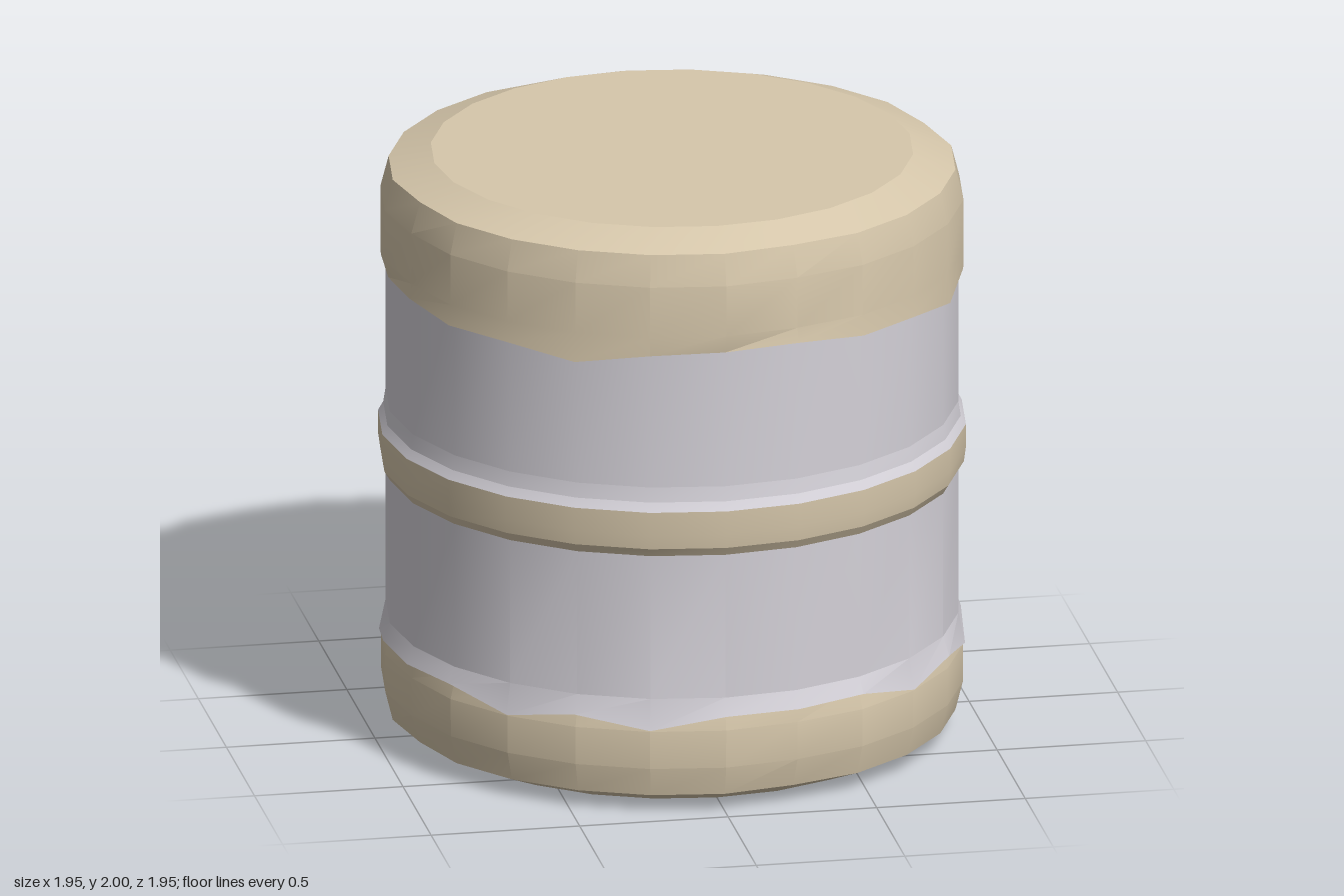
import * as THREE from 'three';
import { toCreasedNormals } from 'three/addons/utils/BufferGeometryUtils.js';

const SIDES = 24;

// Surface of revolution whose [radius, y] profile may change from column to column.
// Profiles run from bottom to top; the six-column pattern repeats every quarter turn.
function ringWall(profile) {
  const pos = [], index = [];
  const rows = profile(0).length;
  for (let i = 0; i < SIDES; i++) {
    const a = (i / SIDES) * Math.PI * 2;
    for (const [r, y] of profile(i % 6)) pos.push(Math.sin(a) * r, y, Math.cos(a) * r);
  }
  for (let i = 0; i < SIDES; i++) {
    const p = i * rows, q = ((i + 1) % SIDES) * rows;
    for (let j = 0; j < rows - 1; j++) {
      index.push(p + j, q + j, q + j + 1, p + j, q + j + 1, p + j + 1);
    }
  }
  const g = new THREE.BufferGeometry();
  g.setAttribute('position', new THREE.Float32BufferAttribute(pos, 3));
  g.setIndex(index);
  return toCreasedNormals(g, 0.32);
}

export function createModel() {
  const tan = new THREE.MeshStandardMaterial({ color: 0xd6c7ab, side: THREE.DoubleSide });
  tan.name = 'sandTan';
  const grey = new THREE.MeshStandardMaterial({ color: 0xd4d1d8, side: THREE.DoubleSide });
  grey.name = 'paleGrey';

  const model = new THREE.Group();
  model.name = 'drum';
  const add = (name, profile, material) => {
    const mesh = new THREE.Mesh(ringWall(profile), material);
    mesh.name = name;
    model.add(mesh);
  };

  // Uneven hems, one height per column
  const topHemY = [1.61, 1.62, 1.6, 1.6, 1.57, 1.605];
  const topHemR = [0.955, 0.966, 0.974, 0.972, 0.975, 0.966];
  const bodyHemY = [0.34, 0.34, 0.345, 0.295, 0.335, 0.295];
  const dented = k => k === 1;

  // Grey body in two halves around the middle hoop
  add('lowerBody', k => [[0.972, bodyHemY[k]], [0.95, 0.4], [0.95, 0.9]], grey);
  add('upperBody', () => [[0.95, 1.14], [0.95, 1.7]], grey);
  add('hoopShoulder', () => [[0.975, 1.06], [0.958, 1.09], [0.95, 1.14]], grey);
  add('middleHoop', () => [[0.95, 0.9], [0.968, 0.93], [0.975, 0.98], [0.975, 1.06]], tan);

  // Faceted end caps
  add('topCap', k => [
    [topHemR[k], topHemY[k]],
    [dented(k) ? 0.957 : 0.967, 1.67],
    [dented(k) ? 0.957 : 0.967, 1.845],
    [dented(k) ? 0.925 : 0.94, 1.95],
  ], tan);
  add('bottomCap', k => [
    [dented(k) ? 0.925 : 0.94, 0.06],
    [dented(k) ? 0.957 : 0.965, 0.16],
    [dented(k) ? 0.957 : 0.966, 0.29],
    [0.944, 0.37],
  ], tan);

  // Slightly domed lids
  const rim = k => (dented(k) ? 0.925 : 0.94);
  add('topLid', k => [[rim(k), 1.95], [0.8, 2], [0, 2]], tan);
  add('bottomLid', k => [[0, 0], [0.8, 0], [rim(k), 0.06]], tan);

  return model;
}
